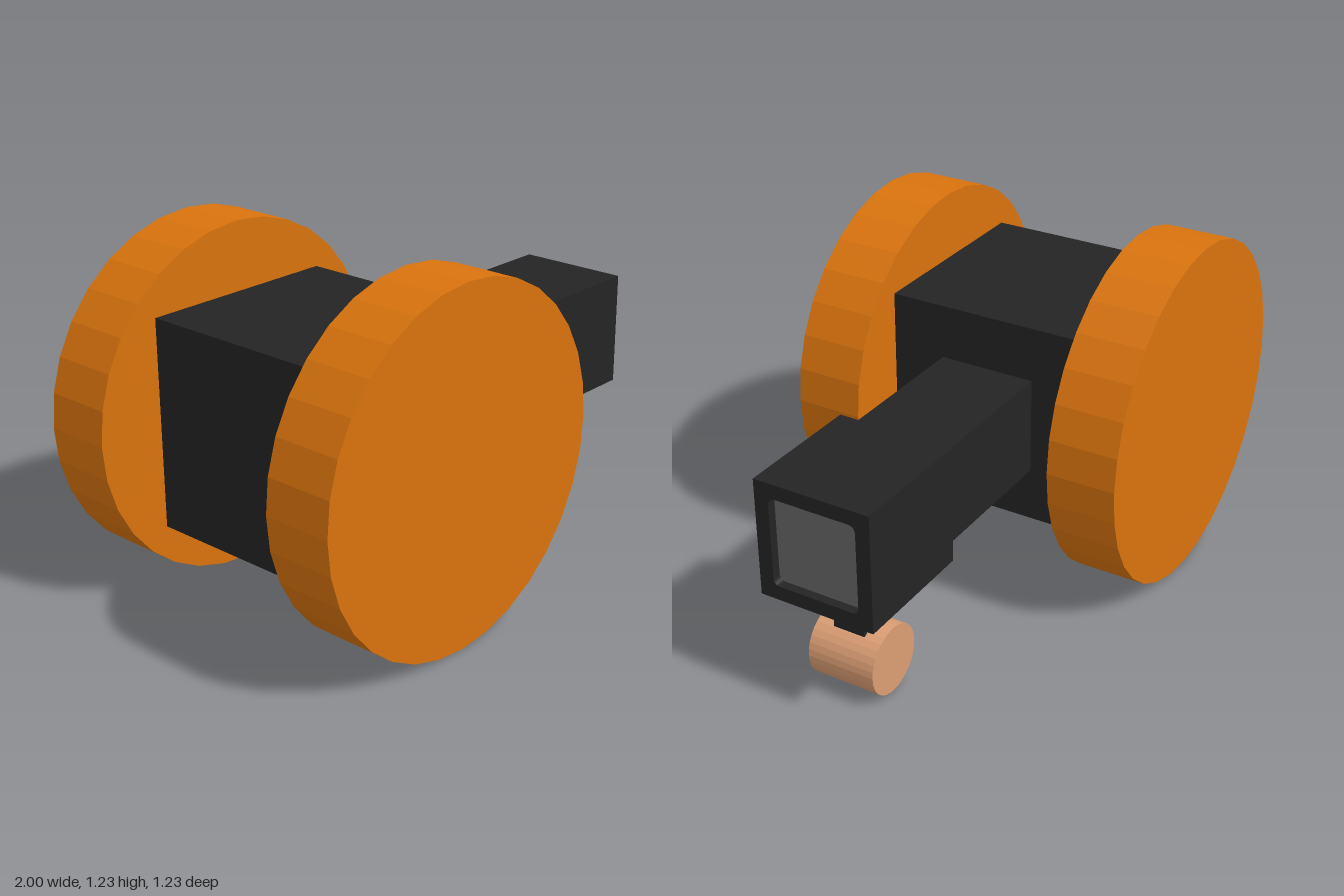
import * as THREE from 'three';

const paint = (name, color) => {
  const m = new THREE.MeshStandardMaterial({ color, flatShading: true });
  m.name = name;
  return m;
};

export function createModel() {
  const model = new THREE.Group();
  model.name = 'reelViewer';
  const orange = paint('orange', 0xd9730d);
  const black = paint('black', 0x242424);
  const grey = paint('grey', 0x646464);
  const tan = paint('tan', 0xdb9e74);
  const axisY = 0.6125;

  const add = (name, geometry, material, x, y, z = 0) => {
    const mesh = new THREE.Mesh(geometry, material);
    mesh.name = name;
    mesh.position.set(x, y, z);
    model.add(mesh);
    return mesh;
  };
  // Box given by its x and y limits, centred on z
  const block = (name, x0, x1, y0, y1, depth) =>
    add(name, new THREE.BoxGeometry(x1 - x0, y1 - y0, depth), black, (x0 + x1) / 2, (y0 + y1) / 2);
  // Disc lying along z
  const disc = (r, width) => new THREE.CylinderGeometry(r, r, width, 32).rotateX(Math.PI / 2);
  // Square outline, optionally with rounded corners
  const square = (path, h, r) => {
    path.moveTo(-h + r, -h).lineTo(h - r, -h).quadraticCurveTo(h, -h, h, -h + r);
    path.lineTo(h, h - r).quadraticCurveTo(h, h, h - r, h);
    path.lineTo(-h + r, h).quadraticCurveTo(-h, h, -h, h - r);
    path.lineTo(-h, -h + r).quadraticCurveTo(-h, -h, -h + r, -h);
    return path;
  };

  // Large side wheels
  for (const side of [1, -1]) {
    add(side > 0 ? 'frontWheel' : 'backWheel', disc(0.6125, 0.244), orange, -0.3885, axisY, side * 0.4905);
  }

  // Central body and arm
  block('body', -0.755, -0.02, 0.247, 0.982, 0.738);
  block('arm', -0.03, 0.52, 0.439, 0.788, 0.349);

  // Flared collar between arm and head
  const collar = new THREE.CylinderGeometry(0.208 * Math.SQRT2, 0.1745 * Math.SQRT2, 0.037, 4)
    .rotateY(Math.PI / 4).rotateZ(-Math.PI / 2);
  add('collar', collar, black, 0.5265, axisY + 0.002);

  // Head core with a recessed window in its end
  block('head', 0.545, 0.965, 0.4065, 0.8225, 0.416);
  const outline = new THREE.Shape([[-1, -1], [1, -1], [1, 1], [-1, 1]]
    .map(([a, b]) => new THREE.Vector2(a * 0.208, b * 0.208)));
  outline.holes.push(square(new THREE.Path(), 0.157, 0.025));
  const frame = new THREE.ExtrudeGeometry(outline, { depth: 0.035, bevelEnabled: false, curveSegments: 6 })
    .rotateY(Math.PI / 2);
  add('windowFrame', frame, black, 0.965, axisY + 0.002);
  const glass = new THREE.ShapeGeometry(square(new THREE.Shape(), 0.157, 0.025), 6).rotateY(Math.PI / 2);
  add('window', glass, grey, 0.969, axisY + 0.002);

  // Stem and roller under the head
  block('rollerStem', 0.705, 0.838, 0.235, 0.415, 0.116);
  add('roller', disc(0.121, 0.246), tan, 0.773, 0.131);

  return model;
}
